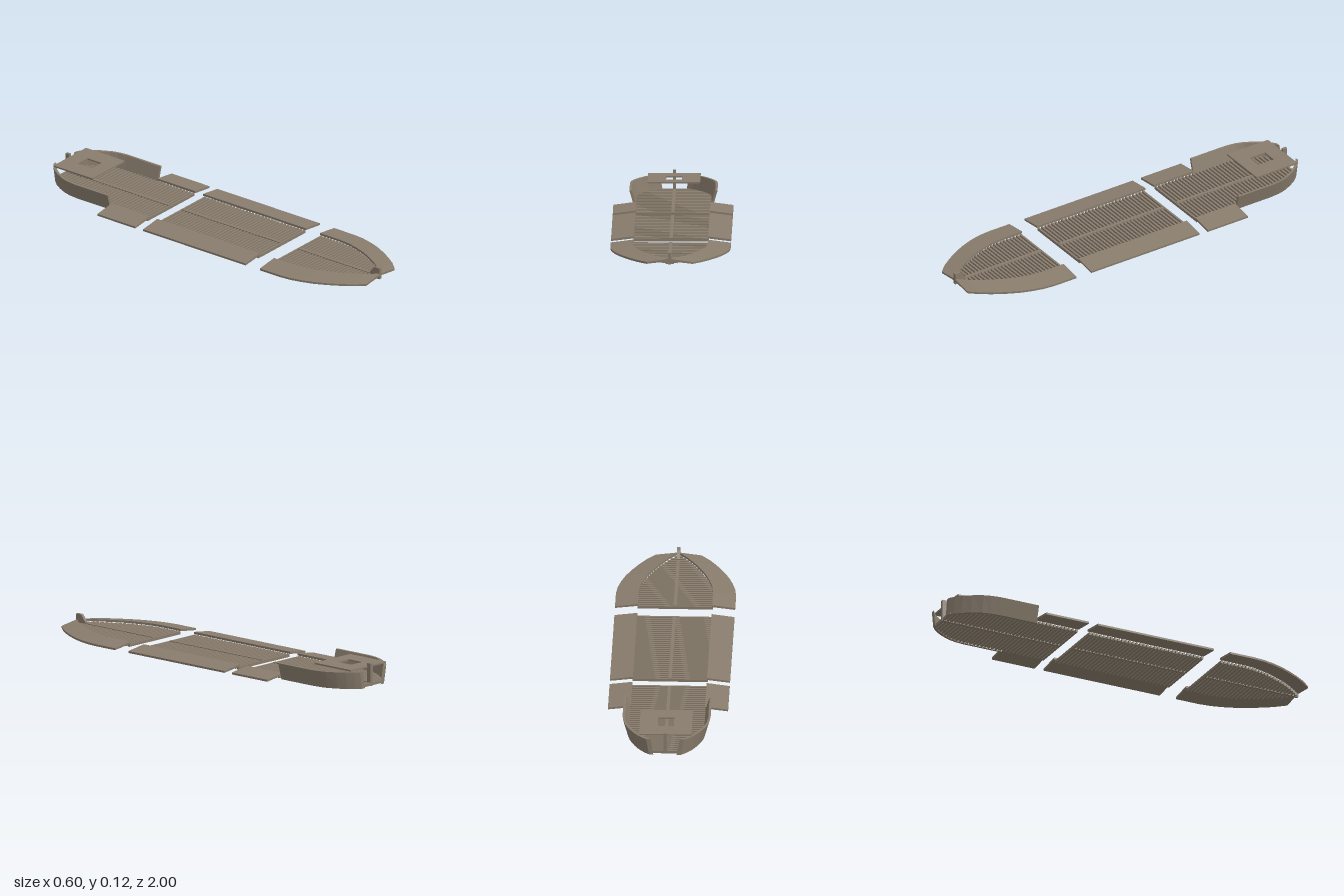
import * as THREE from 'three';

const wood = new THREE.MeshStandardMaterial({ color: 0x887c6c });
wood.name = 'weathered wood';

// Piecewise linear lookup of a [z, x] profile
function sample(profile, z) {
  for (let i = 1; i < profile.length; i++) {
    const [z0, x0] = profile[i - 1], [z1, x1] = profile[i];
    if (z <= z1) return x0 + (x1 - x0) * Math.max(0, (z - z0) / (z1 - z0));
  }
  return profile[profile.length - 1][1];
}

// Solid through cross-sections { z, ring }, z rising, ring counter-clockwise seen from +z
function loft(sections, side) {
  const pos = [];
  const rings = sections.map(({ z, ring }) => {
    const r = ring.map(([x, y]) => [x * side, y, z]);
    return side < 0 ? r.reverse() : r;
  });
  const quad = (a, b, c, d) => pos.push(...a, ...b, ...c, ...a, ...c, ...d);
  for (let s = 0; s + 1 < rings.length; s++) {
    const a = rings[s], b = rings[s + 1];
    for (let i = 0; i < 4; i++) {
      const j = (i + 1) % 4;
      quad(a[i], a[j], b[j], b[i]);
    }
  }
  const first = rings[0], last = rings[rings.length - 1];
  quad(first[3], first[2], first[1], first[0]);
  quad(last[0], last[1], last[2], last[3]);
  const g = new THREE.BufferGeometry();
  g.setAttribute('position', new THREE.Float32BufferAttribute(pos, 3));
  g.computeVertexNormals();
  return g;
}

export function createModel() {
  const model = new THREE.Group();
  model.name = 'shipDeck';

  const add = (name, geometry, parent = model) => {
    const mesh = new THREE.Mesh(geometry, wood);
    mesh.name = name;
    parent.add(mesh);
    return mesh;
  };
  const box = (name, x0, x1, y0, y1, z0, z1, parent) =>
    add(name, new THREE.BoxGeometry(x1 - x0, y1 - y0, z1 - z0), parent)
      .position.set((x0 + x1) / 2, (y0 + y1) / 2, (z0 + z1) / 2);

  // Half-widths of the open deck along the ship
  const bowInner = [[0.47, 0.185], [0.6, 0.185], [0.66, 0.179], [0.72, 0.164],
    [0.78, 0.143], [0.84, 0.114], [0.9, 0.079], [0.95, 0.045], [1, 0]];
  const sternBottom = [[-1, 0.08], [-0.98, 0.105], [-0.95, 0.132], [-0.91, 0.157],
    [-0.86, 0.18], [-0.82, 0.19], [-0.77, 0.195], [-0.56, 0.195]];
  const straight = [[-1, 0.185], [1, 0.185]];

  // Sloping side decks
  const sideDeck = (name, profile) => {
    const sections = profile.map(([z, x]) => ({
      z, ring: [[x, 0.022], [x + 0.115, 0.008], [x + 0.115, 0.018], [x, 0.033]],
    }));
    for (const side of [1, -1]) add(name + (side > 0 ? 'Left' : 'Right'), loft(sections, side));
  };
  sideDeck('bowSideDeck', bowInner);
  sideDeck('midSideDeck', [[-0.27, 0.185], [0.38, 0.185]]);
  sideDeck('sternSideDeck', [[-0.56, 0.185], [-0.32, 0.185]]);

  // Rows of cross beams with one central beam
  const beamRow = (name, z0, z1, count, profile) => {
    const row = new THREE.Group();
    row.name = name;
    model.add(row);
    for (let i = 0; i < count; i++) {
      const z = z0 + (z1 - z0) * i / (count - 1);
      const w = sample(profile, z) + 0.003;
      box('crossBeam', -w, w, 0.005, 0.02, z - 0.0055, z + 0.0055, row);
    }
    box('centreBeam', -0.008, 0.008, 0.004, 0.023, z0, z1, row);
  };
  beamRow('bowBeams', 0.48, 0.98, 26, bowInner);
  beamRow('midBeams', -0.257, 0.37, 32, straight);
  beamRow('sternBeams', -0.985, -0.333, 33, sternBottom.map(([z, x]) => [z, x - 0.008]));

  // Flared, curved stern bulwarks
  const wall = sternBottom.map(([z, x]) => {
    const flare = 0.015 + 0.01 * Math.min(1, (z + 1) / 0.2);
    const t = 0.012 + 0.01 * Math.max(0, (-0.85 - z) / 0.15);
    return { z, ring: [[x - t, 0.003], [x, 0.003], [x + flare, 0.09], [x + flare - t, 0.09]] };
  });
  for (const side of [1, -1]) add(side > 0 ? 'bulwarkLeft' : 'bulwarkRight', loft(wall, side));

  // Raised stern deck with a square hatch
  const deck = new THREE.Shape([[-0.131, 0.725], [0.131, 0.725], [0.131, 0.97], [-0.131, 0.97]]
    .map(p => new THREE.Vector2(...p)));
  deck.holes.push(new THREE.Path([[-0.04, 0.8], [-0.04, 0.89], [0.04, 0.89], [0.04, 0.8]]
    .map(p => new THREE.Vector2(...p))));
  const deckGeometry = new THREE.ExtrudeGeometry(deck, { depth: 0.008, bevelEnabled: false });
  deckGeometry.rotateX(-Math.PI / 2);
  add('raisedSternDeck', deckGeometry).position.y = 0.095;

  // Stern post
  box('sternPost', -0.008, 0.008, 0.004, 0.118, -0.992, -0.968);

  // Slanted bow stem
  const stem = new THREE.Shape([[-1, 0.004], [-0.94, 0.004], [-0.94, 0.03], [-0.967, 0.063], [-1, 0.063]]
    .map(p => new THREE.Vector2(...p)));
  const stemGeometry = new THREE.ExtrudeGeometry(stem, { depth: 0.016, bevelEnabled: false });
  stemGeometry.translate(0, 0, -0.008);
  stemGeometry.rotateY(Math.PI / 2);
  add('bowStem', stemGeometry);

  model.position.y = -0.003;
  return model;
}
